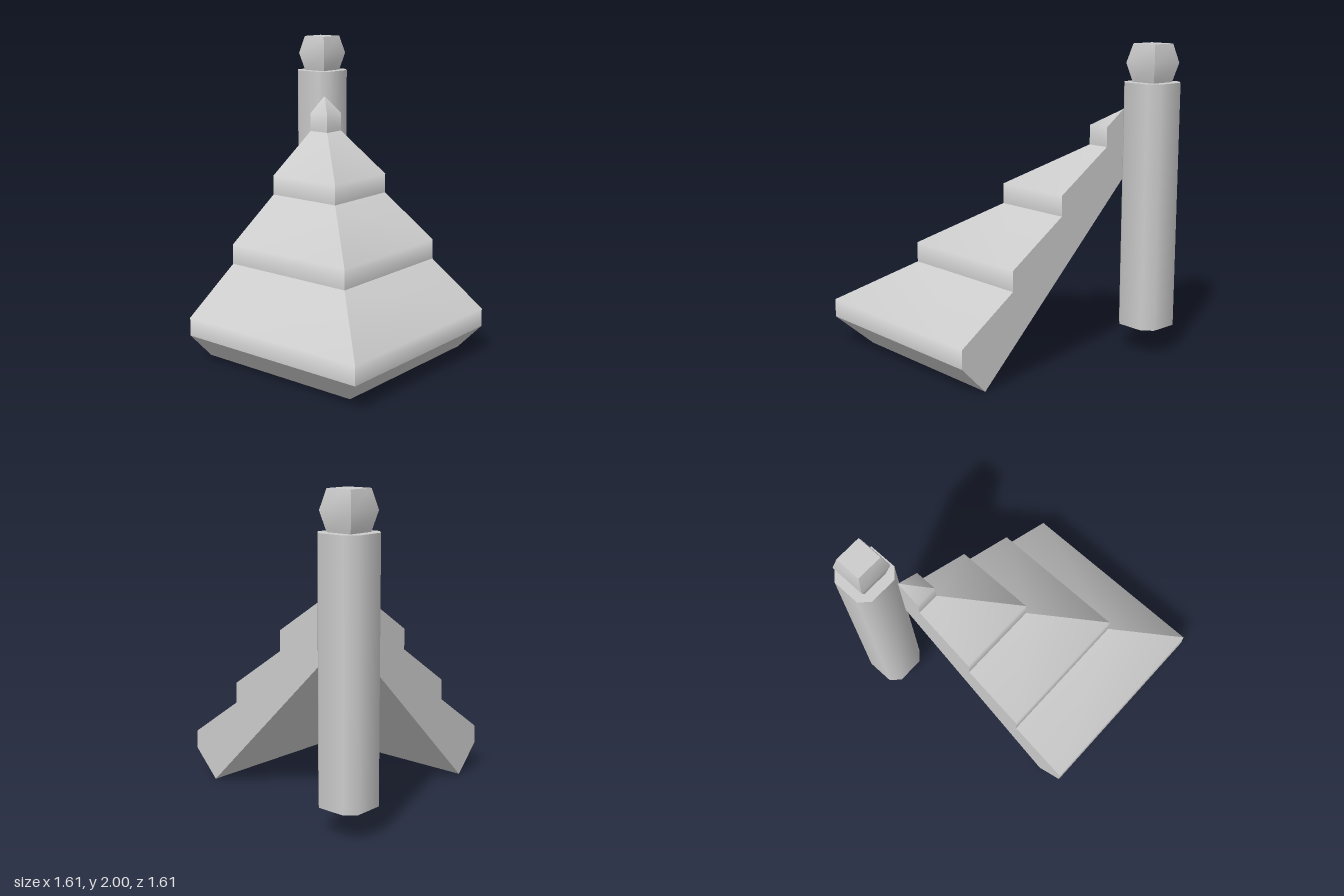
import * as THREE from 'three';

const C = -0.53; // both cut sides of the roof lie on this plane
const P = -0.653; // post axis
const material = new THREE.MeshStandardMaterial({ color: 0xcccccc });

// Profile strips [distance, height], each smooth within itself and creased against the next
const strips = {
  underside: [[C, 1.14], [0.63, 0]],
  eave: [[0.63, 0], [0.805, 0.18]],
  lowerTier: [[0.805, 0.18], [0.805, 0.3], [0.41, 0.57]],
  middleTier: [[0.41, 0.57], [0.41, 0.7], [0.01, 0.97]],
  upperTier: [[0.01, 0.97], [0.01, 1.1], [-0.38, 1.36]],
  peak: [[-0.38, 1.36], [-0.38, 1.485], [C, 1.59]],
};

// Strip facing +z, running from the cut side to the diagonal hip
function stripGeometry(points) {
  const pos = [], index = [];
  points.forEach(([d, y], i) => {
    pos.push(C, y, d, d, y, d);
    if (i) {
      const a = 2 * i - 2;
      index.push(a, a + 1, a + 3, a, a + 3, a + 2);
    }
  });
  const g = new THREE.BufferGeometry();
  g.setAttribute('position', new THREE.Float32BufferAttribute(pos, 3));
  g.setIndex(index);
  g.computeVertexNormals();
  return g;
}

// Mirror across the diagonal: swap x and z, reverse the winding
function mirrored(geometry) {
  const g = geometry.clone();
  const p = g.attributes.position, ix = g.index;
  for (let i = 0; i < p.count; i++) p.setXYZ(i, p.getZ(i), p.getY(i), p.getX(i));
  for (let i = 0; i < ix.count; i += 3) {
    const b = ix.getX(i + 1);
    ix.setX(i + 1, ix.getX(i + 2));
    ix.setX(i + 2, b);
  }
  g.computeVertexNormals();
  return g;
}

export function createModel() {
  const model = new THREE.Group();
  model.name = 'roofCornerWithPost';
  const add = (parent, name, geometry) => {
    const mesh = new THREE.Mesh(geometry, material);
    mesh.name = name;
    parent.add(mesh);
    return mesh;
  };

  // Stepped quarter-pyramid roof, hollow below
  const roof = new THREE.Group();
  roof.name = 'steppedRoof';
  model.add(roof);
  for (const [name, points] of Object.entries(strips)) {
    const g = stripGeometry(points);
    add(roof, name + 'Front', g);
    add(roof, name + 'Side', mirrored(g));
  }

  // Cut faces showing the roof section
  const outline = Object.values(strips).flat().map(([d, y]) => new THREE.Vector2(d, y))
    .filter((v, i, all) => !i || !v.equals(all[i - 1]));
  const section = new THREE.ShapeGeometry(new THREE.Shape(outline));
  section.rotateY(-Math.PI / 2).translate(C, 0, 0);
  add(roof, 'cutFaceRight', section);
  add(roof, 'cutFaceBack', mirrored(section));

  // Square post with chamfered, softly shaded corners
  const postGeo = new THREE.CylinderGeometry(1, 1, 1.58, 8, 1, false, Math.PI / 8);
  const pp = postGeo.attributes.position;
  const snap = (v) => (Math.abs(v) < 0.01 ? 0 : Math.sign(v) * (Math.abs(v) > 0.5 ? 0.152 : 0.092));
  for (let i = 0; i < pp.count; i++) {
    pp.setX(i, snap(pp.getX(i)));
    pp.setZ(i, snap(pp.getZ(i)));
  }
  add(model, 'post', postGeo).position.set(P, 0.97, P);

  // Finial block, widest at mid height
  const finialGeo = new THREE.BoxGeometry(0.174, 0.24, 0.174, 1, 2, 1);
  const fp = finialGeo.attributes.position;
  for (let i = 0; i < fp.count; i++) {
    if (Math.abs(fp.getY(i)) < 0.01) {
      fp.setX(i, fp.getX(i) * 1.34);
      fp.setZ(i, fp.getZ(i) * 1.34);
    }
  }
  finialGeo.computeVertexNormals();
  add(model, 'finial', finialGeo).position.set(P, 1.88, P);

  return model;
}
